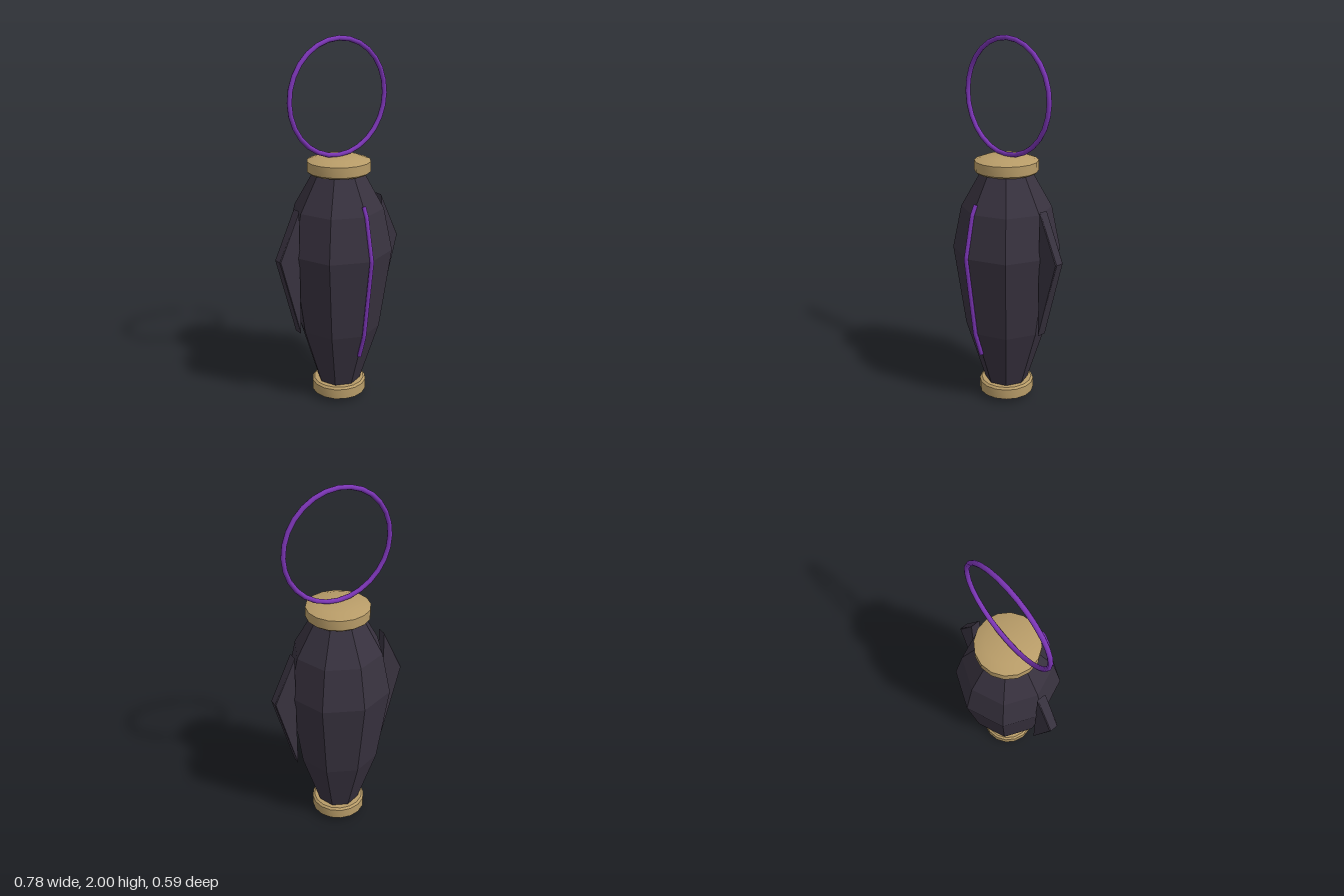
import * as THREE from 'three';
import { toCreasedNormals } from 'three/addons/utils/BufferGeometryUtils.js';

const Z = -0.008; // shared axis of body, caps, fins and ring

export function createModel() {
  const group = new THREE.Group();
  const material = (color, options = {}) => new THREE.MeshStandardMaterial({ color, ...options });
  const dark = material(0x38323f, { flatShading: true });
  const bronze = material(0xb89c68);
  const purple = material(0x7b35b5);

  const add = (name, geometry, mat, z = Z) => {
    const mesh = new THREE.Mesh(geometry, mat);
    mesh.name = name;
    mesh.position.z = z;
    group.add(mesh);
    return mesh;
  };
  const lathe = (profile, sides) =>
    new THREE.LatheGeometry(profile.map(([r, y]) => new THREE.Vector2(r, y)), sides);

  // Eight-sided faceted body
  add('body', lathe([[0, 0.07], [0.112, 0.07], [0.225, 0.43], [0.289, 0.88],
    [0.242, 1.11], [0.13, 1.31], [0, 1.31]], 8), dark);

  // Chamfered round caps
  add('bottomCap', toCreasedNormals(lathe([[0, 0], [0.11, 0.004], [0.152, 0.028],
    [0.152, 0.085], [0.14, 0.095], [0, 0.095]], 16), 0.6), bronze);
  add('topCap', toCreasedNormals(lathe([[0, 1.298], [0.158, 1.298], [0.17, 1.308],
    [0.17, 1.362], [0.115, 1.382], [0, 1.384]], 16), 0.6), bronze);

  // Carrying ring standing on the top cap
  const ring = add('ring', new THREE.TorusGeometry(0.298, 0.013, 8, 28), purple);
  ring.position.y = 1.689;

  // Triangular side fins with a narrow bevel
  const finShape = new THREE.Shape([[0.269, 0.45], [0.385, 0.88], [0.269, 1.13]]
    .map(([x, y]) => new THREE.Vector2(x, y)));
  const finGeometry = new THREE.ExtrudeGeometry(finShape, {
    depth: 0.044, bevelEnabled: true, bevelThickness: 0.005, bevelSize: 0.004, bevelSegments: 1,
  });
  finGeometry.translate(0, 0, -0.022);
  add('leftFin', finGeometry, dark);
  add('rightFin', finGeometry, dark).rotation.y = Math.PI;

  // Thin strip following the front ridge of the body
  const path = new THREE.CurvePath();
  const ridge = [[0.30, 0.184], [0.43, 0.225], [0.88, 0.284], [1.11, 0.236], [1.16, 0.212]]
    .map(([y, z]) => new THREE.Vector3(0, y, z));
  for (let i = 1; i < ridge.length; i++) path.add(new THREE.LineCurve3(ridge[i - 1], ridge[i]));
  add('frontStrip', new THREE.TubeGeometry(path, 48, 0.012, 6),
    material(0x7b35b5, { side: THREE.DoubleSide }), 0);

  return group;
}
